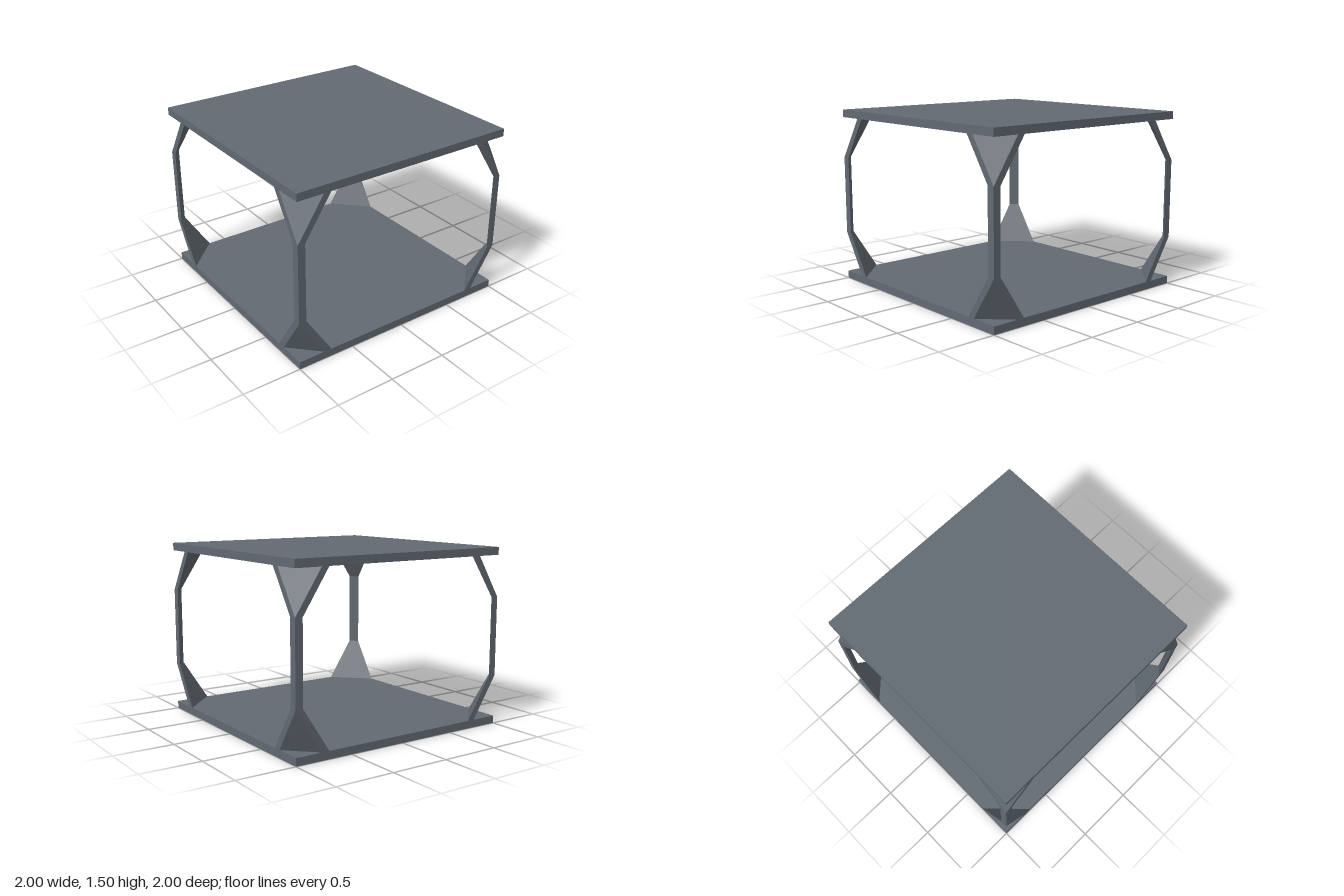
import * as THREE from 'three';

const SLAB = 0.065;   // slab thickness, also the width of each strut
const HEIGHT = 1.505;
const FLARE = 0.23;   // how far the struts spread along the slab edges
const LOW = 0.42;     // where the lower flare ends
const HIGH = 1.09;    // where the upper flare begins

// Section across the corner (1, 1): a diagonal strip set back from the corner
function section(y, setback) {
  const a = 1 - setback, b = a - SLAB;
  return [[a, y, 1], [b, y, 1], [1, y, b], [1, y, a]];
}

// Flat-sided solid between two corner sections
function loft(y0, s0, y1, s1) {
  const lower = section(y0, s0), upper = section(y1, s1), points = [];
  for (let i = 0; i < 4; i++) {
    const j = (i + 1) % 4;
    const quad = [lower[j], lower[i], upper[i], upper[j]];
    const same = (p, q) => p.every((v, k) => v === q[k]);
    // skip the triangles that collapse at the corner edge
    for (const [a, b, c] of [[0, 1, 2], [0, 2, 3]]) {
      const t = [quad[a], quad[b], quad[c]];
      if (same(t[0], t[1]) || same(t[1], t[2]) || same(t[2], t[0])) continue;
      points.push(...t.flat());
    }
  }
  const geometry = new THREE.BufferGeometry();
  geometry.setAttribute('position', new THREE.Float32BufferAttribute(points, 3));
  geometry.computeVertexNormals();
  return geometry;
}

export function createModel() {
  const model = new THREE.Group();
  model.name = 'openFrameTable';
  const steel = new THREE.MeshStandardMaterial({ color: 0x626a72 });
  steel.name = 'slate grey';

  const add = (parent, name, geometry) => {
    const mesh = new THREE.Mesh(geometry, steel);
    mesh.name = name;
    parent.add(mesh);
    return mesh;
  };

  // Square slabs
  const slab = new THREE.BoxGeometry(2, SLAB, 2);
  add(model, 'bottomSlab', slab).position.y = SLAB / 2;
  add(model, 'topSlab', slab).position.y = HEIGHT - SLAB / 2;

  // Triangular posts with flared braces at both ends, one per corner
  const lowerBrace = loft(SLAB, FLARE, LOW, 0);
  const post = loft(LOW, 0, HIGH, 0);
  const upperBrace = loft(HIGH, 0, HEIGHT - SLAB, FLARE);
  ['frontLeft', 'frontRight', 'backRight', 'backLeft'].forEach((corner, i) => {
    const leg = new THREE.Group();
    leg.name = corner + 'Leg';
    add(leg, 'lowerBrace', lowerBrace);
    add(leg, 'post', post);
    add(leg, 'upperBrace', upperBrace);
    leg.rotation.y = -i * Math.PI / 2;
    model.add(leg);
  });

  return model;
}
